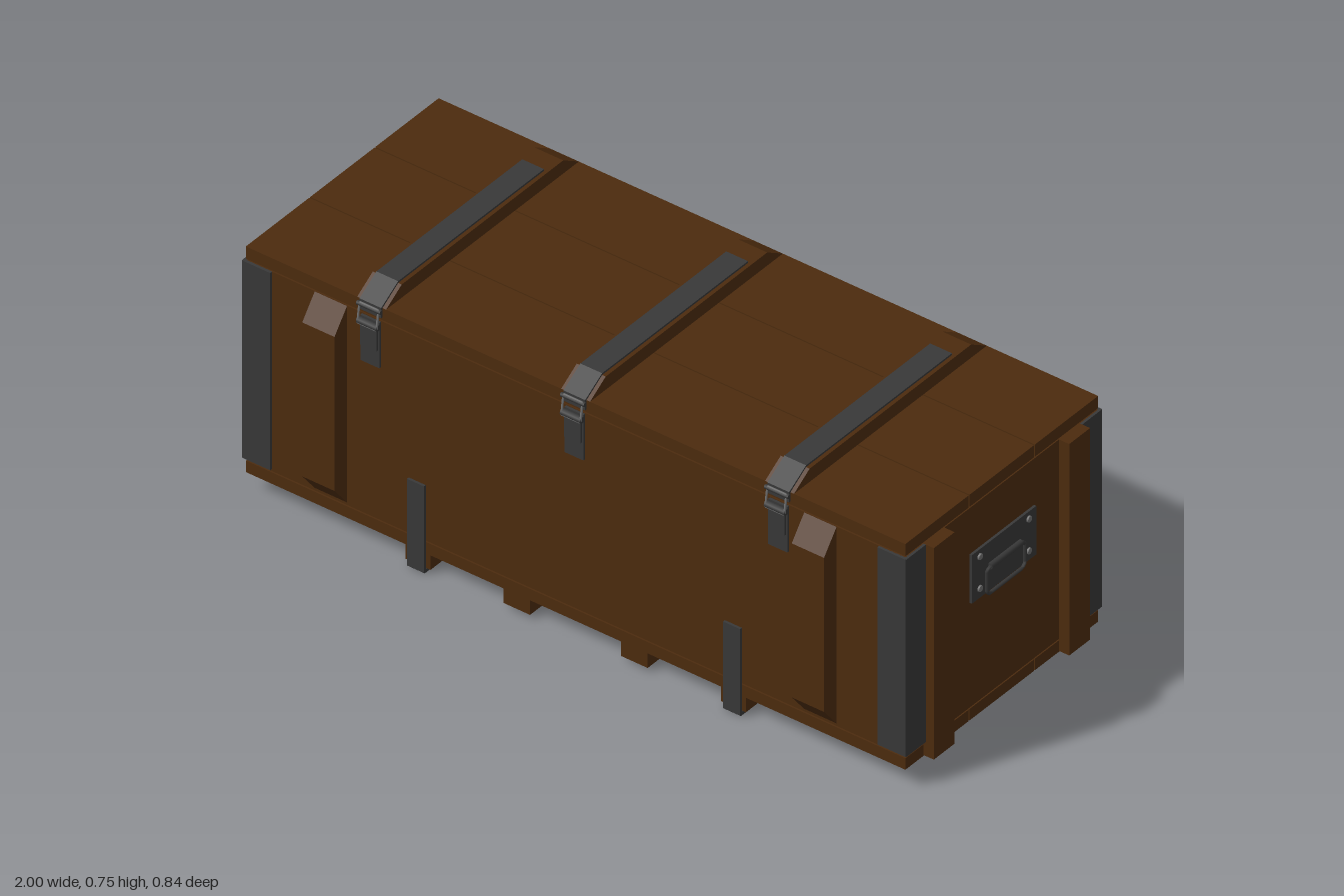
import * as THREE from 'three';

export function createModel() {
  const root = new THREE.Group();
  const mat = (name, color) => {
    const m = new THREE.MeshStandardMaterial({ color });
    m.name = name;
    return m;
  };
  const wood = mat('wood', 0x4c2b0e);
  const iron = mat('dark iron', 0x383838);
  const steel = mat('bare steel', 0x707070);

  const add = (name, geo, material, x = 0, y = 0, z = 0) => {
    const m = new THREE.Mesh(geo, material);
    m.name = name;
    m.position.set(x, y, z);
    root.add(m);
    return m;
  };
  // Box given by its minimum and maximum on each axis
  const box = (name, material, x0, x1, y0, y1, z0, z1) =>
    add(name, new THREE.BoxGeometry(x1 - x0, y1 - y0, z1 - z0), material,
      (x0 + x1) / 2, (y0 + y1) / 2, (z0 + z1) / 2);
  // Side profile of [z, y] points, extruded to a width along x
  const profile = (name, material, points, x, width) => {
    const shape = new THREE.Shape(points.map(([z, y]) => new THREE.Vector2(z, y)));
    const geo = new THREE.ExtrudeGeometry(shape, { depth: width, bevelEnabled: false });
    geo.translate(0, 0, -width / 2).rotateY(-Math.PI / 2);
    return add(name, geo, material, x);
  };
  // Closed or open wire through [x, y, z] points
  const wire = (name, material, points, radius, closed) => {
    const path = new THREE.CurvePath();
    const p = points.map(a => new THREE.Vector3(...a));
    const n = closed ? p.length : p.length - 1;
    for (let i = 0; i < n; i++) path.add(new THREE.LineCurve3(p[i], p[(i + 1) % p.length]));
    add(name, new THREE.TubeGeometry(path, 48, radius, 6, closed), material);
  };

  // Crate body with planked lid and floor
  box('body', wood, -0.97, 0.97, 0.092, 0.668, -0.37, 0.37);
  for (const [z0, z1] of [[-0.37, -0.127], [-0.123, 0.123], [0.127, 0.37]]) {
    box('lidPlank', wood, -0.97, 0.97, 0.672, 0.707, z0, z1);
    box('floorPlank', wood, -0.97, 0.97, 0.055, 0.088, z0, z1);
  }
  box('lidCore', wood, -0.965, 0.965, 0.676, 0.7, -0.36, 0.36);
  box('floorCore', wood, -0.965, 0.965, 0.06, 0.084, -0.36, 0.36);

  // Corner irons, end battens and side battens
  for (const sx of [-1, 1]) {
    for (const sz of [-1, 1]) {
      const span = (s, a, b) => (s > 0 ? [a, b] : [-b, -a]);
      box('cornerIronSide', iron, ...span(sx, 0.893, 0.975), 0.098, 0.668, ...span(sz, 0.369, 0.377));
      box('cornerIronEnd', iron, ...span(sx, 0.969, 0.977), 0.098, 0.668, ...span(sz, 0.3, 0.376));
      box('endBatten', wood, ...span(sx, 0.969, 1), 0.057, 0.668, ...span(sz, 0.22, 0.3));
      const pts = [[0.369, 0.098], [0.418, 0.16], [0.418, 0.605], [0.369, 0.668]];
      profile('sideBatten', wood, pts.map(([z, y]) => [z * sz, y]), sx * 0.72, 0.095);
    }
  }

  // Lid battens with iron straps and front latches
  for (const x of [-0.6, 0, 0.6]) {
    profile('lidBatten', wood,
      [[-0.37, 0.707], [0.37, 0.707], [0.31, 0.745], [-0.31, 0.745]], x, 0.085);
    profile('lidStrap', iron, [
      [-0.25, 0.745], [0.308, 0.745], [0.37, 0.706], [0.37, 0.68],
      [0.375, 0.68], [0.375, 0.71], [0.31, 0.75], [-0.25, 0.75],
    ], x, 0.064);
    box('latchPlate', iron, x - 0.028, x + 0.028, 0.535, 0.666, 0.369, 0.377);
    box('latchLever', iron, x - 0.024, x + 0.024, 0.585, 0.655, 0.376, 0.383);
    const hook = add('latchHook', new THREE.CylinderGeometry(0.009, 0.009, 0.06, 10), iron, x, 0.655, 0.383);
    hook.rotation.z = Math.PI / 2;
    const catchBar = add('latchCatch', new THREE.CylinderGeometry(0.006, 0.006, 0.07, 10), iron, x, 0.7, 0.379);
    catchBar.rotation.z = Math.PI / 2;
    wire('latchLoop', steel, [
      [x - 0.028, 0.65, 0.388], [x + 0.028, 0.65, 0.388],
      [x + 0.028, 0.704, 0.38], [x - 0.028, 0.704, 0.38],
    ], 0.003, true);
  }

  // Back hinges
  for (const [x, w] of [[-0.485, 0.08], [0, 0.145], [0.485, 0.08]]) {
    box('hingePlate', iron, x - w / 2, x + w / 2, 0.652, 0.69, -0.375, -0.369);
    const pin = add('hingePin', new THREE.CylinderGeometry(0.005, 0.005, w, 8), iron, x, 0.671, -0.375);
    pin.rotation.z = Math.PI / 2;
  }

  // Floor skids, the outer pair wrapped by a U-shaped strap
  for (const sx of [-1, 1]) {
    box('innerSkid', wood, sx * 0.173 - 0.039, sx * 0.173 + 0.039, 0.013, 0.056, -0.37, 0.37);
    box('outerSkid', wood, sx * 0.464 - 0.037, sx * 0.464 + 0.037, 0.013, 0.056, -0.37, 0.37);
    profile('skidStrap', iron, [
      [-0.378, 0.253], [-0.378, 0.003], [-0.375, 0], [0.375, 0], [0.378, 0.003], [0.378, 0.253],
      [0.371, 0.253], [0.371, 0.01], [-0.371, 0.01], [-0.371, 0.253],
    ], sx * 0.465, 0.05);
  }

  // Carrying handles on both ends
  for (const sx of [-1, 1]) {
    add('handlePlate', new THREE.BoxGeometry(0.008, 0.14, 0.247), iron, sx * 0.973, 0.465, 0);
    for (const y of [0.423, 0.515]) {
      for (const z of [-0.094, 0.094]) {
        const rivet = add('rivet', new THREE.CylinderGeometry(0.008, 0.009, 0.005, 12), steel, sx * 0.979, y, z);
        rivet.rotation.z = -sx * Math.PI / 2;
      }
    }
    const x = sx * 0.982;
    wire('handleLoop', iron, [
      [x, 0.468, -0.064], [x, 0.46, -0.073], [x, 0.402, -0.073], [x, 0.393, -0.064],
      [x, 0.393, 0.064], [x, 0.402, 0.073], [x, 0.46, 0.073], [x, 0.468, 0.064],
    ], 0.005, true);
    const grip = add('handleSleeve', new THREE.CylinderGeometry(0.009, 0.009, 0.12, 10), iron, sx * 0.98, 0.468, 0);
    grip.rotation.x = Math.PI / 2;
  }

  return root;
}
